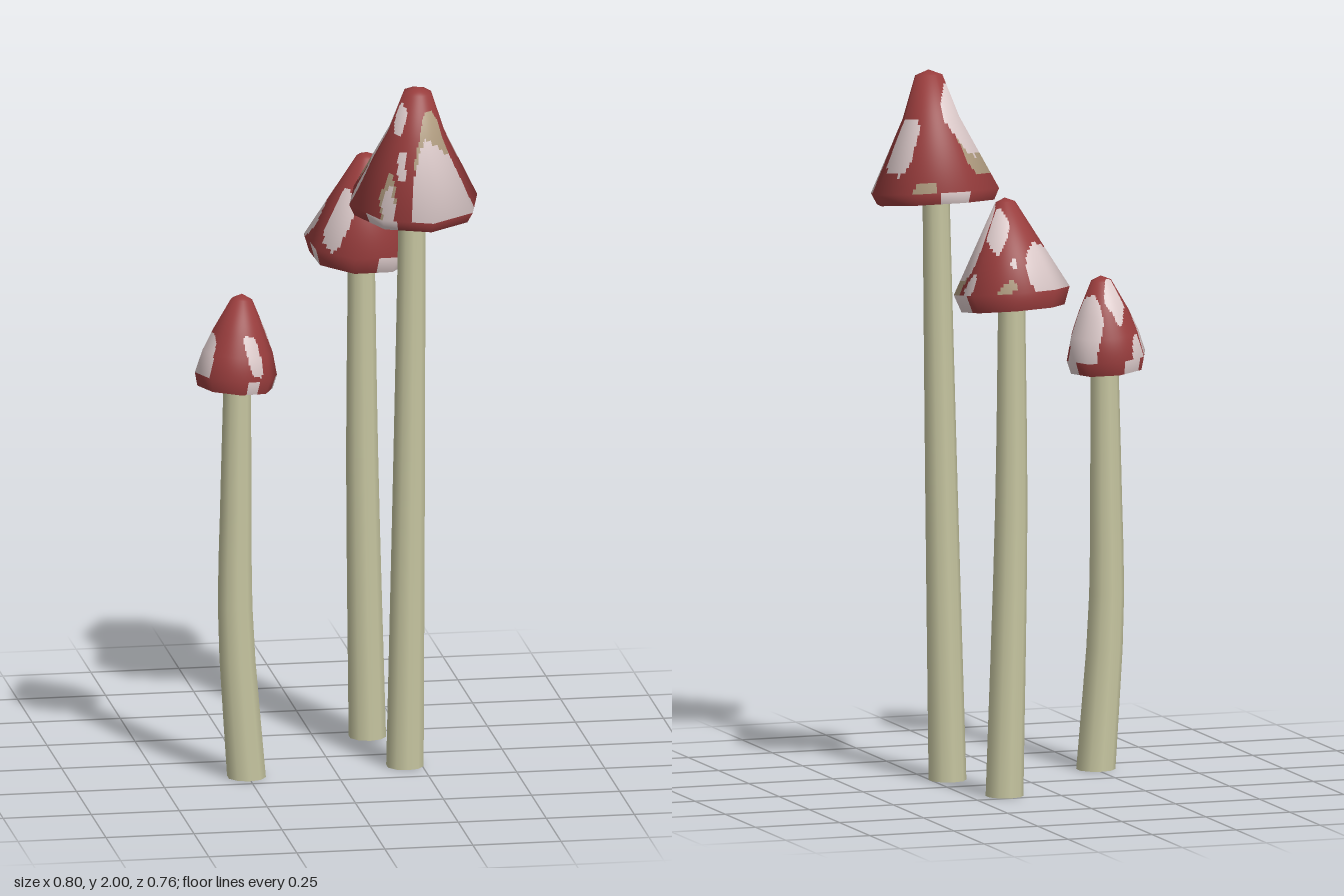
import * as THREE from 'three';

const paint = (name, color, side = THREE.FrontSide) => {
  const m = new THREE.MeshStandardMaterial({ color, side });
  m.name = name;
  return m;
};

// Is (x, z) inside a wavy oval spot? Spots are seen from above, in hundredths of a unit.
function inSpot([cx, cz, ru, rv, degrees], x, z) {
  const a = THREE.MathUtils.degToRad(degrees);
  const u = ((x - cx) * Math.cos(a) + (z - cz) * Math.sin(a)) / ru;
  const v = ((z - cz) * Math.cos(a) - (x - cx) * Math.sin(a)) / rv;
  return Math.hypot(u, v) < 1.03 + 0.08 * Math.sin(4 * Math.atan2(v, u) + cx);
}

// Eight-sided cap; each facet is finely divided so that spots are separate faces.
// pick(point, onRim) returns the material slot of a face.
function capGeometry(profile, phase, pick) {
  const SIDES = 8, N = 14;
  const segNormal = profile.slice(1).map(([r, y], i) =>
    new THREE.Vector2(profile[i][1] - y, r - profile[i][0]).normalize());
  const ringNormal = profile.map((_, i) => {
    if (i === 0) return new THREE.Vector2(0, 1);
    const n = segNormal[i - 1].clone();
    if (segNormal[i]) n.add(segNormal[i]);
    return n.normalize();
  });
  const at = (r, y, a) => new THREE.Vector3(r * Math.cos(a), y, r * Math.sin(a));
  const buckets = [[], [], []];
  for (let s = 0; s < SIDES; s++) {
    const a0 = phase + (s * Math.PI) / 4, a1 = a0 + Math.PI / 4;
    for (let k = 0; k + 1 < profile.length; k++) {
      const [[r0, y0], [r1, y1]] = [profile[k], profile[k + 1]];
      const [n0, n1] = [ringNormal[k], ringNormal[k + 1]];
      const point = (u, v) => {
        const r = r0 + (r1 - r0) * v, y = y0 + (y1 - y0) * v;
        const nr = n0.x + (n1.x - n0.x) * v, ny = n0.y + (n1.y - n0.y) * v;
        return {
          p: at(r, y, a0).lerp(at(r, y, a1), u),
          n: at(nr, ny, a0).lerp(at(nr, ny, a1), u).normalize(),
        };
      };
      const onRim = k === profile.length - 2;
      for (let i = 0; i < N; i++) for (let j = 0; j < N; j++) {
        const [u0, u1, v0, v1] = [i / N, (i + 1) / N, j / N, (j + 1) / N];
        const [A, B, C, D] = [point(u0, v0), point(u1, v0), point(u1, v1), point(u0, v1)];
        const slot = pick(point((u0 + u1) / 2, (v0 + v1) / 2).p, onRim);
        if (k + j > 0) buckets[slot].push(A, B, C);
        buckets[slot].push(A, C, D);
      }
    }
  }
  const all = buckets.flat();
  const g = new THREE.BufferGeometry();
  g.setAttribute('position', new THREE.Float32BufferAttribute(all.flatMap((q) => q.p.toArray()), 3));
  g.setAttribute('normal', new THREE.Float32BufferAttribute(all.flatMap((q) => q.n.toArray()), 3));
  let start = 0;
  buckets.forEach((b, i) => {
    if (b.length) g.addGroup(start, b.length, i);
    start += b.length;
  });
  return g;
}

// Tapered open tube whose rows follow a gently bent centre line
function stemGeometry(path, bottomR, topR) {
  const height = path[path.length - 1][1];
  const curve = new THREE.CatmullRomCurve3(path.map((p) => new THREE.Vector3(...p)));
  const g = new THREE.CylinderGeometry(topR, bottomR, height, 10, 8, true);
  g.translate(0, height / 2, 0);
  const pos = g.attributes.position;
  for (let i = 0; i < pos.count; i++) {
    const c = curve.getPoint(Math.min(1, pos.getY(i) / height));
    pos.setXYZ(i, pos.getX(i) + c.x, c.y, pos.getZ(i) + c.z);
  }
  return g;
}

// One mushroom; rim lists the angle ranges (degrees) of spots on the narrow lower band.
function makeMushroom(materials, { name, centre, lean, phase, profile, stem, radii, rim, white, tan }) {
  const mushroom = new THREE.Group();
  mushroom.name = name;

  const stalk = new THREE.Mesh(stemGeometry(stem, ...radii), materials.cream);
  stalk.name = 'stem';

  // Tilted head: spotted cap and pale underside
  const head = new THREE.Group();
  head.name = 'head';
  head.position.set(...centre);
  head.quaternion.setFromUnitVectors(new THREE.Vector3(0, 1, 0), new THREE.Vector3(...lean).normalize());
  head.updateMatrix();
  const pick = (p, onRim) => {
    if (onRim) {
      const a = THREE.MathUtils.radToDeg(Math.atan2(p.z, p.x));
      return rim.some(([from, to]) => a > from && a < to) ? 1 : 0;
    }
    const w = p.clone().applyMatrix4(head.matrix).multiplyScalar(100);
    if (white.some((s) => inSpot(s, w.x, w.z))) return 1;
    return tan.some((s) => inSpot(s, w.x, w.z)) ? 2 : 0;
  };
  const cap = new THREE.Mesh(capGeometry(profile, phase, pick), [materials.red, materials.white, materials.tan]);
  cap.name = 'cap';

  const [rimR, rimY] = profile[profile.length - 1];
  const underside = new THREE.Mesh(new THREE.CircleGeometry(rimR, 8, phase).rotateX(Math.PI / 2), materials.cream);
  underside.name = 'underside';
  underside.position.y = rimY;

  head.add(cap, underside);
  mushroom.add(stalk, head);
  return mushroom;
}

export function createModel() {
  const materials = {
    red: paint('capRed', 0x973c3c),
    white: paint('spotWhite', 0xdccaca),
    tan: paint('spotTan', 0xb09c80),
    cream: paint('stemCream', 0xc6c5a0, THREE.DoubleSide),
  };
  const model = new THREE.Group();
  model.name = 'mushrooms';

  model.add(makeMushroom(materials, {
    name: 'tallMushroom', centre: [0.215, 1.66, 0.197], lean: [0.015, 1, 0.12], phase: -0.145,
    profile: [[0, 0.34], [0.04, 0.325], [0.083, 0.205], [0.188, 0], [0.172, -0.032]],
    stem: [[0.203, 0, 0.127], [0.208, 0.82, 0.163], [0.212, 1.64, 0.196]], radii: [0.053, 0.038],
    rim: [[115, 150], [-105, -75]],
    white: [
      [15.5, 15.7, 5.4, 4.6, 0], [6, 19, 4.2, 2.6, -35], [32, 16.3, 4, 4.3, 0], [28.5, 33.8, 11, 5.2, -22],
      [16.8, 26, 2.2, 1.2, 60], [16.4, 31, 1.2, 1.4, 0], [12, 33.6, 1.7, 2.1, 0],
    ],
    tan: [[13, 12.8, 5, 4.8, 0], [25.5, 30.5, 5.5, 3, -25], [29.8, 4.5, 3.4, 1.1, 12], [12, 32.6, 2.2, 2.8, 0]],
  }));

  model.add(makeMushroom(materials, {
    name: 'middleMushroom', centre: [0.139, 1.435, -0.226], lean: [0.04, 1, 0.11], phase: 0.276,
    profile: [[0, 0.262], [0.028, 0.25], [0.09, 0.135], [0.163, 0], [0.145, -0.05]],
    stem: [[0.151, 0, -0.2], [0.141, 0.8, -0.227], [0.138, 1.4, -0.223]], radii: [0.053, 0.038],
    rim: [[50, 80], [-15, 15], [150, 175]],
    white: [
      [4.8, -31.5, 9.5, 5.8, -42], [16.9, -33, 0.9, 0.9, 0], [19, -25.5, 2.8, 3.4, 0],
      [22.8, -18.5, 5.2, 4.4, -30], [27.8, -26.3, 1.9, 2.4, 0], [6.3, -14.2, 4.3, 2.9, 0],
    ],
    tan: [[25.5, -17.8, 4.8, 3.6, -50], [20, -36, 3, 1, 25]],
  }));

  model.add(makeMushroom(materials, {
    name: 'shortMushroom', centre: [-0.284, 1.17, 0.17], lean: [0.08, 1, -0.03], phase: 0,
    profile: [[0, 0.23], [0.03, 0.215], [0.075, 0.125], [0.1, 0.065], [0.117, 0], [0.107, -0.038]],
    stem: [[-0.254, 0, 0.17], [-0.285, 0.45, 0.17], [-0.284, 0.8, 0.17], [-0.28, 1.15, 0.17]], radii: [0.055, 0.039],
    rim: [[60, 80], [-20, 10], [-130, -100]],
    white: [
      [-37.8, 17.5, 6.5, 2.7, 80], [-29, 12, 2.7, 3, 0], [-20.8, 12.6, 5.2, 3, 58],
      [-24.8, 25, 2.4, 1.7, 0], [-35, 8.5, 2, 1.1, -25],
    ],
    tan: [],
  }));
  return model;
}
